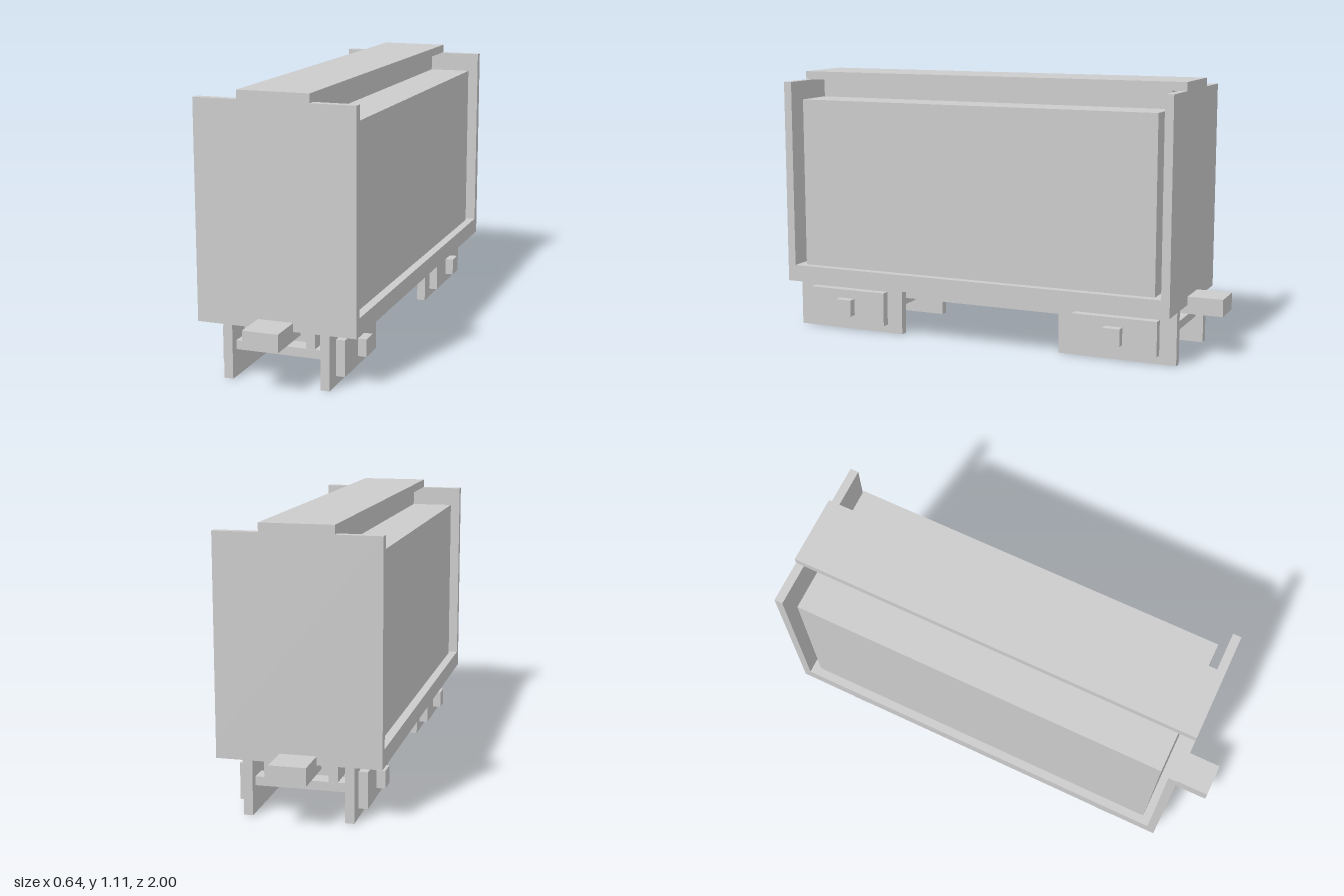
import * as THREE from 'three';

const material = new THREE.MeshStandardMaterial({ color: 0xcccccc, flatShading: true });

// Box given by its low and high corner on each axis
function addBox(parent, name, [x0, x1], [y0, y1], [z0, z1]) {
  const geometry = new THREE.BoxGeometry(x1 - x0, y1 - y0, z1 - z0);
  const mesh = new THREE.Mesh(geometry, material);
  mesh.position.set((x0 + x1) / 2, (y0 + y1) / 2, (z0 + z1) / 2);
  mesh.name = name;
  parent.add(mesh);
}

// Low and high ends for a span placed on either side of zero
const side = (s, near, far) => (s > 0 ? [near, far] : [-far, -near]);

function createBogie() {
  const bogie = new THREE.Group();
  bogie.name = 'bogie';
  for (const s of [-1, 1]) {
    addBox(bogie, 'sideFrame', side(s, 0.178, 0.214), [0, 0.215], [-0.248, 0.248]);
    addBox(bogie, 'framePlate', side(s, 0.214, 0.25), [0.036, 0.18], [-0.178, 0.178]);
    addBox(bogie, 'axleBox', side(s, 0.25, 0.285), [0.072, 0.143], [-0.036, 0.036]);
    addBox(bogie, 'crossBar', [-0.178, 0.178], [0.108, 0.143], side(s, 0.143, 0.214));
  }
  addBox(bogie, 'bolster', [-0.178, 0.178], [0.072, 0.143], [-0.071, 0.071]);
  addBox(bogie, 'pivot', [-0.071, 0.071], [0.143, 0.215], [-0.071, 0.071]);
  return bogie;
}

export function createModel() {
  const wagon = new THREE.Group();
  wagon.name = 'wagon';

  // Body
  addBox(wagon, 'floor', [-0.32, 0.32], [0.215, 0.285], [-0.855, 0.855]);
  addBox(wagon, 'cargoBody', [-0.285, 0.285], [0.285, 1.0], [-0.785, 0.785]);
  addBox(wagon, 'roofSupport', [-0.107, 0.107], [1.0, 1.075], [-0.785, 0.785]);
  addBox(wagon, 'roofWalkway', [-0.143, 0.143], [1.075, 1.11], [-0.855, 0.855]);

  for (const s of [-1, 1]) {
    addBox(wagon, 'endWall', [-0.32, 0.32], [0.285, 1.075], side(s, 0.82, 0.855));
    addBox(wagon, 'coupler', [-0.071, 0.071], [0.18, 0.25], side(s, 0.785, 1.0));
    // Underframe rails between the bogies
    addBox(wagon, 'underframeRail', side(s, 0.107, 0.143), [0.143, 0.215], [-0.82, 0.82]);
    const bogie = createBogie();
    bogie.position.z = s * 0.607;
    wagon.add(bogie);
  }
  return wagon;
}
